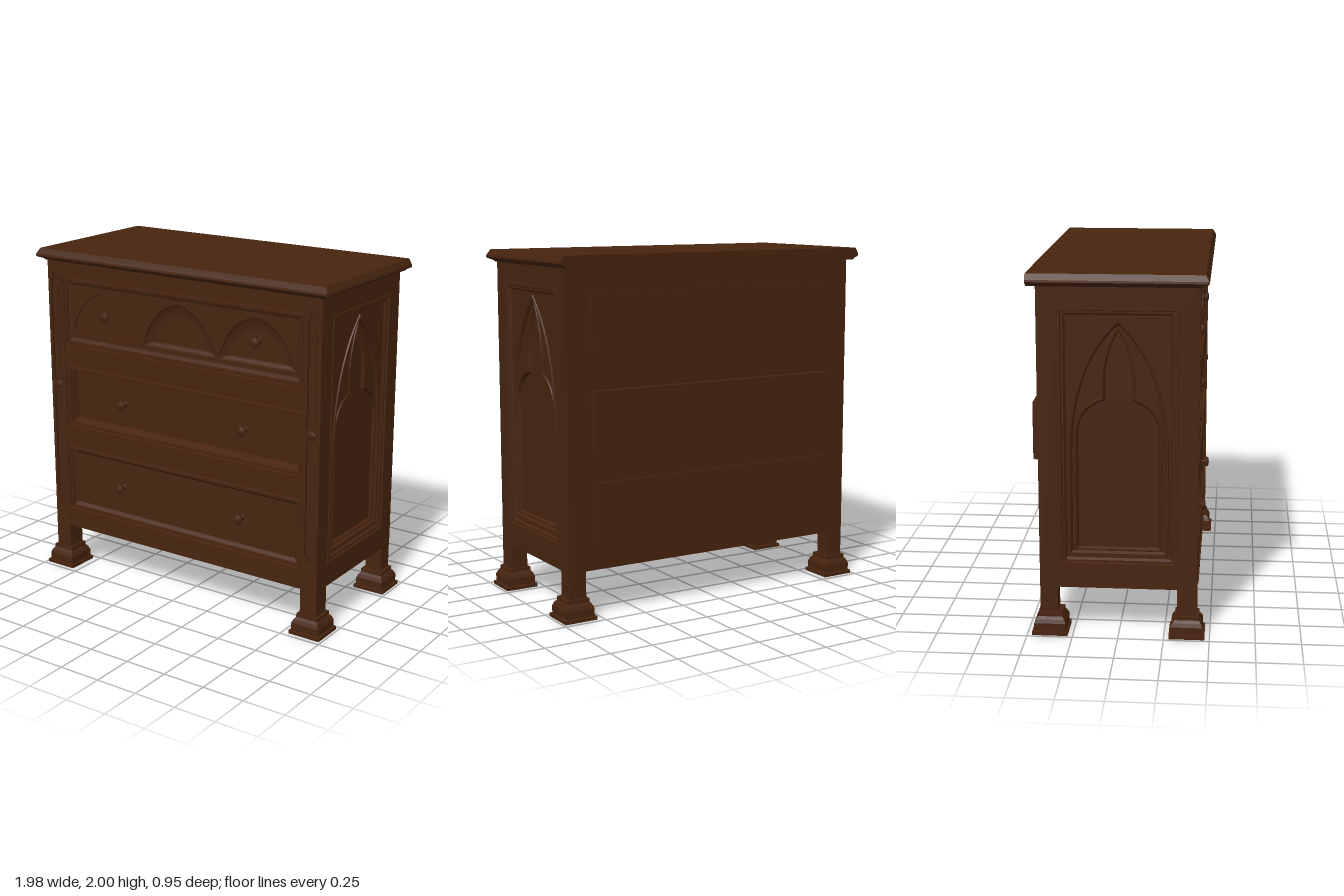
import * as THREE from 'three';

const wood = new THREE.MeshStandardMaterial({ color: 0x47240f });
wood.name = 'dark wood';

// ---- closed outlines, counter-clockwise, as [x, y] points ----
const rect = (w, y0, y1) => [[w, y0], [w, y1], [-w, y1], [-w, y0]];
const inset = (w, y0, y1, d) => rect(w - d, y0 + d, y1 - d);
const shift = (pts, dx) => pts.map(([x, y]) => [x + dx, y]);
// mirrors a right half that ends on the centre line
const mirrored = (half) => [...half, ...half.slice(0, -1).reverse().map(([x, y]) => [-x, y])];
const bend = (a, c, b, n = 10) =>
  new THREE.QuadraticBezierCurve(new THREE.Vector2(...a), new THREE.Vector2(...c), new THREE.Vector2(...b))
    .getPoints(n).map((p) => [p.x, p.y]);

const lancet = (d) => {
  const w = 0.27 - d;
  return mirrored([[w, 0.455 + d], ...bend([w, 1.05], [0.255 - d, 1.52], [0, 1.765 - d * 1.8], 14)]);
};
const trefoil = (d) => mirrored([
  [0.235 - d, 0.48 + d],
  ...bend([0.235 - d, 1.13], [0.232 - d, 1.29 - d], [0.09 - d, 1.335 - d], 8),
  ...bend([0.09 - d, 1.45], [0.075 - d, 1.6], [0, 1.725 - d * 2], 8),
]);
const drawerArch = (d) => {
  const w = 0.26 - d * 0.9;
  return mirrored([[w, 1.5 + d * 0.35], ...bend([w, 1.51 + d * 0.35], [w * 0.76, 1.745 - d * 0.7], [0, 1.785 - d], 12)]);
};
const channel = (yMid, yTip) => {
  const s = Math.sign(yTip - yMid);
  const half = [[0.032, yMid], [0.032, yTip - s * 0.055], [0.018, yTip - s * 0.045], [0.018, yTip - s * 0.015], [0, yTip]];
  return mirrored(half);
};

// ---- surfaces ----
const toShape = (pts, holes = []) => {
  const s = new THREE.Shape(pts.map((p) => new THREE.Vector2(...p)));
  s.holes = holes.map((h) => new THREE.Path(h.map((p) => new THREE.Vector2(...p))));
  return s;
};

function add(parent, name, geometry, x = 0, y = 0, z = 0) {
  const m = new THREE.Mesh(geometry, wood);
  m.name = name;
  m.position.set(x, y, z);
  parent.add(m);
  return m;
}
const box = (parent, name, x0, x1, y0, y1, z0, z1) =>
  add(parent, name, new THREE.BoxGeometry(x1 - x0, y1 - y0, z1 - z0), (x0 + x1) / 2, (y0 + y1) / 2, (z0 + z1) / 2);
const face = (parent, name, pts, holes, z) =>
  add(parent, name, new THREE.ShapeGeometry(toShape(pts, holes)), 0, 0, z);

// joins successive outlines [points, z]; optionally closes the last one
function loft(parent, name, levels, cap = true) {
  const pos = [];
  for (let k = 0; k + 1 < levels.length; k++) {
    const [a, za] = levels[k], [b, zb] = levels[k + 1];
    a.forEach((p, i) => {
      const j = (i + 1) % a.length;
      const A = [...p, za], B = [...a[j], za], C = [...b[j], zb], D = [...b[i], zb];
      pos.push(...A, ...B, ...C, ...A, ...C, ...D);
    });
  }
  const g = new THREE.BufferGeometry();
  g.setAttribute('position', new THREE.Float32BufferAttribute(pos, 3));
  g.computeVertexNormals();
  const group = new THREE.Group();
  group.name = name;
  parent.add(group);
  add(group, name + 'Sides', g);
  if (cap) face(group, name + 'Floor', ...[levels.at(-1)[0], [], levels.at(-1)[1]]);
  return group;
}

// turned pull, axis along z
function knob(parent, x, y, z) {
  const profile = [[0.018, 0], [0.012, 0.01], [0.012, 0.032], [0.028, 0.038], [0.031, 0.047], [0.024, 0.056], [0, 0.06]];
  const g = new THREE.LatheGeometry(profile.map((p) => new THREE.Vector2(...p)), 20);
  g.rotateX(Math.PI / 2);
  add(parent, 'knob', g, x, y, z);
}

export function createModel() {
  const root = new THREE.Group();
  root.name = 'chestOfDrawers';
  const F = 0.43, W = 0.94;

  // carcass
  box(root, 'core', -0.87, 0.87, 0.28, 1.93, -0.42, 0.35);
  box(root, 'backBoard', -W + 0.001, W - 0.001, 0.27, 1.93, -F, -0.4);
  box(root, 'bottomBoard', -W + 0.002, W - 0.002, 0.27, 0.29, -0.429, 0.425);
  box(root, 'bottomBead', -0.835, 0.835, 0.27, 0.288, 0.42, 0.434);

  // top with moulded front and sides, straight at the back
  const slab = (a) => [[a, 0.515 - a], [a, 0.478], [-a, 0.478], [-a, 0.515 - a]];
  const top = loft(root, 'top', [
    [rect(0.5, -0.3, 0.3), 1.93], [slab(0.95), 1.93], [slab(0.96), 1.94], [slab(0.985), 1.95],
    [slab(0.99), 1.957], [slab(0.988), 1.968], [slab(0.97), 2.0],
  ]);
  top.rotation.x = -Math.PI / 2;

  // front frame and drawers
  const drawers = [
    { y0: 1.43, y1: 1.84, z: 0.405, knobX: 0.52, knobY: 1.635, b0: 1.48, back: -0.445 },
    { y0: 0.925, y1: 1.3, z: 0.37, knobX: 0.425, knobY: 1.11, b0: 0.95, back: -0.477 },
    { y0: 0.385, y1: 0.795, z: 0.4, knobX: 0.425, knobY: 0.595, b0: 0.44, back: -0.445 },
  ];
  const w = 0.827;
  face(root, 'frontFrame', rect(0.836, 0.27, 1.93), drawers.map((d) => rect(w, d.y0, d.y1)), 0.427);
  drawers.forEach((d, n) => {
    const g = new THREE.Group();
    g.name = 'drawer' + (n + 1);
    root.add(g);
    const at = (i) => inset(w, d.y0, d.y1, i);
    loft(g, 'drawerMoulding', [
      [at(0), 0.427], [at(0.004), 0.415], [at(0.008), 0.424], [at(0.024), 0.424], [at(0.026), 0.414], [at(0.045), d.z],
    ], n > 0);
    let knobZ = d.z;
    if (n === 0) {
      // three scooped pointed arches
      const centres = [-0.522, 0, 0.522];
      face(g, 'arcade', at(0.045), centres.map((c) => shift(drawerArch(0), c)), d.z);
      for (const c of centres) {
        const steps = [[0, 0], [0, 0.006], [0.012, 0.006], [0.016, -0.003], [0.035, -0.011], [0.06, -0.017], [0.085, -0.02]];
        loft(g, 'archRecess', steps.map(([i, dz]) => [shift(drawerArch(i), c), d.z + dz]));
      }
      knobZ = d.z - 0.02;
    }
    for (const s of [-1, 1]) knob(g, s * d.knobX, d.knobY, knobZ);
    box(g, 'drawerBack', -0.79, 0.79, d.b0, d.b0 + 0.32, d.back, -0.42);
  });

  // corner posts and stepped feet
  const cx = 0.888, cz = 0.375;
  const sq = (h) => rect(h, -h, h);
  for (const sx of [-1, 1]) {
    const holes = [channel(1.2, 1.865), channel(1.15, 0.415)];
    const front = new THREE.ExtrudeGeometry(toShape(rect(0.052, 0.27, 1.93), holes), { depth: 0.03, bevelEnabled: false });
    add(root, 'postFront', front, sx * cx, 0, F - 0.03);
    for (const h of holes) {
      const bead = h.map(([x, y]) => [x * 0.6, y + (y > 1.17 ? 1.53 - y : 0.78 - y) * 0.03]);
      loft(root, 'postReed', [[bead, 0.412], [bead.map(([x, y]) => [x * 0.6, y]), 0.424]]).position.x = sx * cx;
    }
    // carved boss at mid height
    const boss = new THREE.SphereGeometry(0.034, 8, 6);
    boss.scale(1, 0.8, 0.4);
    add(root, 'boss', boss, sx * cx, 1.172, 0.424);

    for (const sz of [-1, 1]) {
      const leg = new THREE.BoxGeometry(0.104, 1.83, 0.095);
      add(root, 'leg', leg, sx * (cx - 0.001), 1.015, sz > 0 ? 0.3675 : -0.3815);
      if (sz > 0) box(root, 'legFront', sx * cx - 0.052, sx * cx + 0.052, 0.1, 0.27, 0.4, F);
      const foot = loft(root, 'foot', [
        [sq(0.001), 0], [sq(0.098), 0], [sq(0.098), 0.02], [sq(0.087), 0.022], [sq(0.087), 0.065],
        [sq(0.078), 0.085], [sq(0.067), 0.1], [sq(0.067), 0.12], [sq(0.05), 0.122],
      ]);
      foot.rotation.x = -Math.PI / 2;
      foot.position.set(sx * cx, 0, sz * cz);
    }

    // side with framed lancet panel and trefoil inset
    const side = new THREE.Group();
    side.name = sx > 0 ? 'leftSide' : 'rightSide';
    side.rotation.y = sx * Math.PI / 2;
    root.add(side);
    const fr = (i) => inset(0.32, 0.4, 1.82, i);
    face(side, 'sideFrame', rect(F, 0.27, 1.93), [fr(0)], W);
    loft(side, 'panelMoulding', [[fr(0), W], [fr(0.002), 0.946], [fr(0.014), 0.946], [fr(0.018), 0.936], [fr(0.03), 0.936], [fr(0.04), 0.922]], false);
    face(side, 'panel', fr(0.04), [lancet(0)], 0.922);
    loft(side, 'lancetMoulding', [[lancet(0), 0.922], [lancet(0.003), 0.93], [lancet(0.012), 0.93], [lancet(0.022), 0.914]], false);
    face(side, 'lancetPanel', lancet(0.022), [trefoil(0)], 0.914);
    loft(side, 'trefoilMoulding', [[trefoil(0), 0.914], [trefoil(0.003), 0.92], [trefoil(0.009), 0.92], [trefoil(0.018), 0.904]]);
  }
  return root;
}
